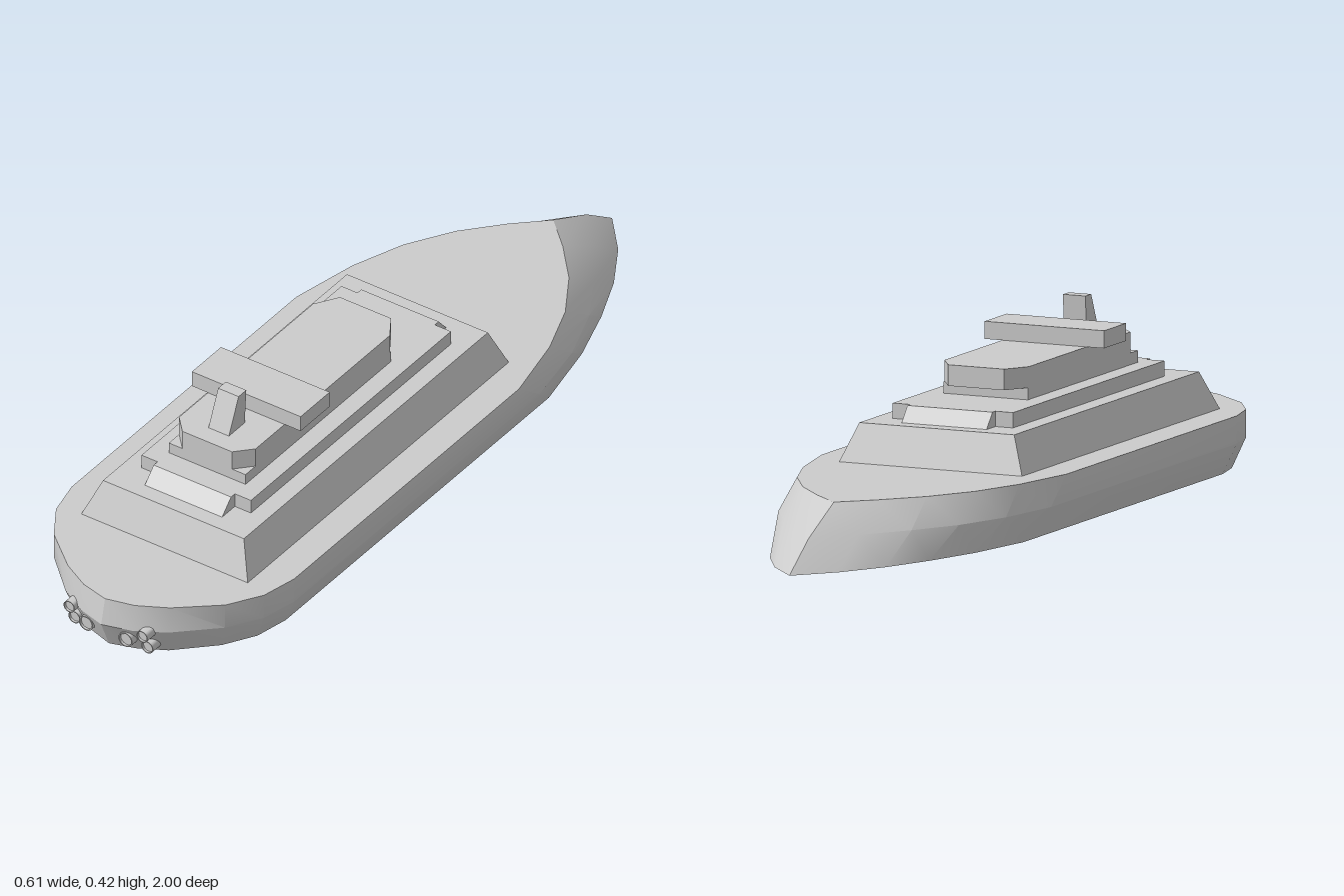
import * as THREE from 'three';
import { toCreasedNormals } from 'three/addons/utils/BufferGeometryUtils.js';

const material = new THREE.MeshStandardMaterial({ color: 0xcccccc });

// Half outlines [x, z] from bow to stern, one per hull level
const HULL = [
  { y: 0, pts: [[0, -1], [0.08, -0.91], [0.145, -0.8], [0.195, -0.68], [0.24, -0.54], [0.275, -0.36],
    [0.275, 0.67], [0.257, 0.755], [0.212, 0.83], [0.126, 0.915], [0.063, 0.95], [0, 0.97]] },
  { y: 0.07, pts: [[0, -0.9], [0.08, -0.81], [0.16, -0.7], [0.225, -0.59], [0.275, -0.45], [0.305, -0.28],
    [0.305, 0.68], [0.285, 0.77], [0.235, 0.85], [0.14, 0.94], [0.07, 0.98], [0, 1]] },
  { y: 0.133, pts: [[0, -0.77], [0.075, -0.7], [0.155, -0.61], [0.222, -0.5], [0.27, -0.37], [0.305, -0.2],
    [0.305, 0.68], [0.285, 0.77], [0.235, 0.85], [0.14, 0.93], [0.07, 0.968], [0, 0.985]] },
];

// Loft the mirrored outlines and close the keel and deck with strips
function hullGeometry() {
  const n = HULL[0].pts.length;
  const ringSize = 2 * n - 2;
  const positions = [];
  const index = [];
  for (const { y, pts } of HULL) {
    for (let i = 0; i < ringSize; i++) {
      const [x, z] = i < n ? pts[i] : pts[ringSize - i];
      positions.push(i < n ? x : -x, y, z);
    }
  }
  for (let level = 0; level < HULL.length - 1; level++) {
    for (let i = 0; i < ringSize; i++) {
      const a = level * ringSize + i;
      const b = level * ringSize + (i + 1) % ringSize;
      index.push(a, a + ringSize, b + ringSize, a, b + ringSize, b);
    }
  }
  const deck = (HULL.length - 1) * ringSize;
  for (let i = 0; i < n - 1; i++) {
    const r0 = i, r1 = i + 1;
    const l0 = (ringSize - i) % ringSize, l1 = ringSize - i - 1;
    if (i > 0) index.push(deck + r0, deck + l0, deck + l1, r0, l1, l0);
    if (r1 !== l1) index.push(deck + r0, deck + l1, deck + r1, r0, r1, l1);
  }
  const g = new THREE.BufferGeometry();
  g.setAttribute('position', new THREE.Float32BufferAttribute(positions, 3));
  g.setIndex(index);
  return toCreasedNormals(g, 0.45);
}

// Box whose bottom and top are each given as [half width, z min, z max]
function taperedBox(y0, y1, bottom, top = bottom) {
  const g = new THREE.BoxGeometry(2, 2, 2);
  const p = g.attributes.position;
  for (let i = 0; i < p.count; i++) {
    const up = p.getY(i) > 0;
    const [w, zMin, zMax] = up ? top : bottom;
    p.setXYZ(i, p.getX(i) * w, up ? y1 : y0, p.getZ(i) > 0 ? zMax : zMin);
  }
  g.computeVertexNormals();
  return g;
}

// Cabin block with cut corners
function cabinGeometry(y0, y1) {
  const half = [[0.07, -0.035], [0.105, 0.02], [0.105, 0.545], [0.068, 0.585]];
  const outline = [...half, ...half.map(([x, z]) => [-x, z]).reverse()];
  const shape = new THREE.Shape(outline.map(([x, z]) => new THREE.Vector2(x, z)));
  return new THREE.ExtrudeGeometry(shape, { depth: y1 - y0, bevelEnabled: false })
    .rotateX(Math.PI / 2).translate(0, y1, 0);
}

// Short nozzle with a thin rim and a slightly sunken face, pointing to +z
function nozzleGeometry(r, length) {
  const profile = [[0, 0], [r, 0], [r, length], [r * 0.86, length], [r * 0.86, length - 0.006], [0, length - 0.006]];
  const g = new THREE.LatheGeometry(profile.map(([x, y]) => new THREE.Vector2(x, y)), 24);
  return toCreasedNormals(g.rotateX(Math.PI / 2), 0.6);
}

export function createModel() {
  const model = new THREE.Group();
  model.name = 'ship';
  const add = (name, geometry, parent = model) => {
    const mesh = new THREE.Mesh(geometry, material);
    mesh.name = name;
    parent.add(mesh);
    return mesh;
  };

  add('hull', hullGeometry());

  // Stepped superstructure
  add('lowerDeckhouse', taperedBox(0.133, 0.22, [0.228, -0.27, 0.752], [0.193, -0.238, 0.717]));
  add('middleDeckhouse', taperedBox(0.22, 0.255, [0.15, -0.155, 0.628]));
  add('middleDeckRamps', taperedBox(0.22, 0.255, [0.106, -0.2, 0.678], [0.106, -0.17, 0.643]));
  add('cabinBase', taperedBox(0.255, 0.282, [0.105, 0.015, 0.585]));
  add('cabin', cabinGeometry(0.282, 0.33));
  add('bridgeWing', taperedBox(0.33, 0.37, [0.149, 0.318, 0.432]));
  add('mast', taperedBox(0.33, 0.417, [0.028, 0.478, 0.54], [0.028, 0.472, 0.502]));

  // Stern nozzles: [x, y, start z, radius]
  const nozzles = new THREE.Group();
  nozzles.name = 'sternNozzles';
  model.add(nozzles);
  for (const [x, y, z, r] of [[0.1, 0.067, 0.935, 0.015], [0.1, 0.026, 0.915, 0.016], [0.054, 0.04, 0.935, 0.019]]) {
    for (const side of [1, -1]) {
      add('nozzle', nozzleGeometry(r, 0.048), nozzles).position.set(side * x, y, z);
    }
  }
  return model;
}
